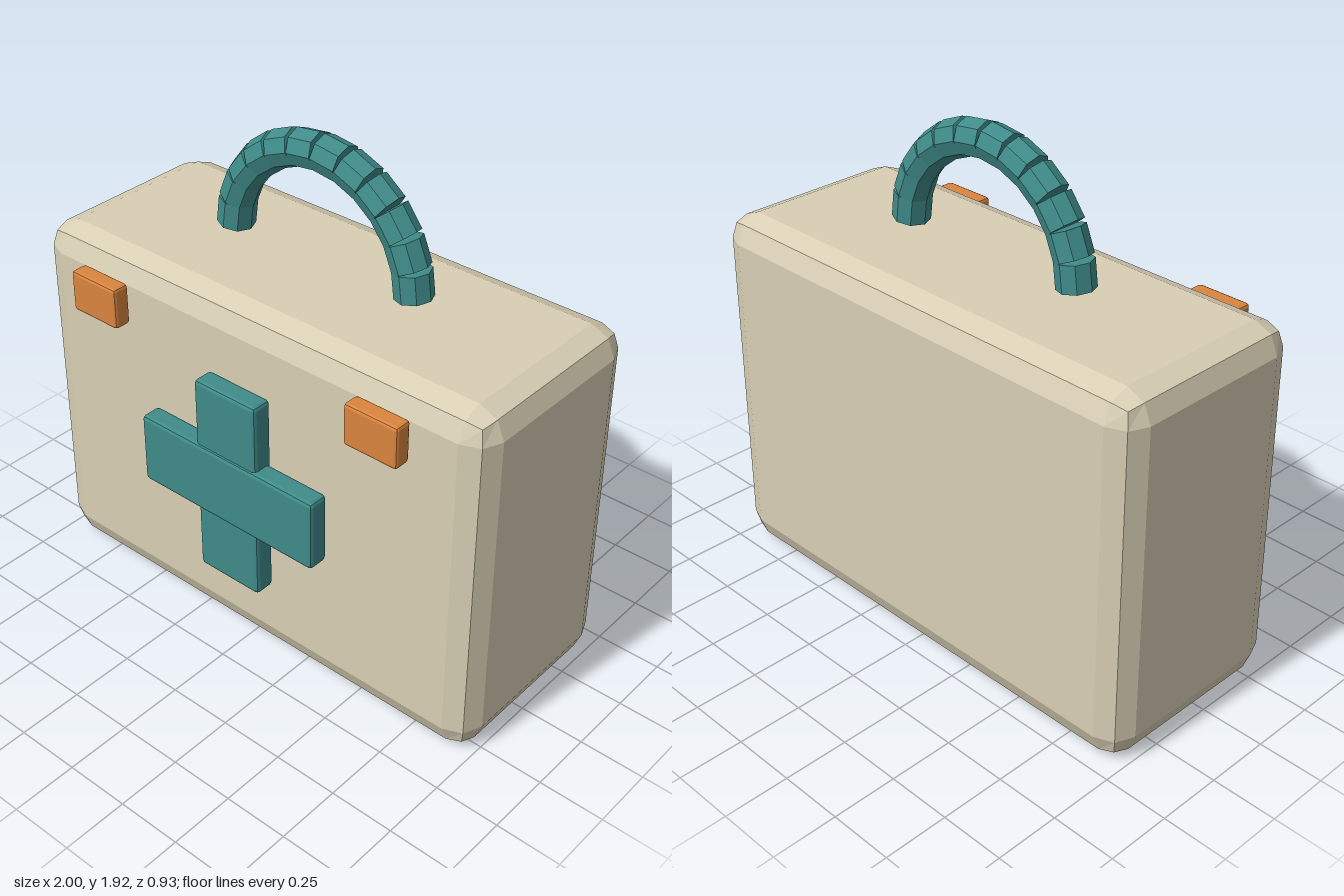
import * as THREE from 'three';
import { RoundedBoxGeometry } from 'three/addons/geometries/RoundedBoxGeometry.js';

const material = (color) => new THREE.MeshStandardMaterial({ color, flatShading: true });

export function createModel() {
  const model = new THREE.Group();
  const cream = material(0xd8cfb4);
  const teal = material(0x3f8c8a);
  const orange = material(0xdb853f);
  const bodyZ = -0.056;

  // box with a single bevel, placed by its centre
  function bevelBox(name, size, centre, radius, mat) {
    const mesh = new THREE.Mesh(new RoundedBoxGeometry(...size, 1, radius), mat);
    mesh.name = name;
    mesh.position.set(...centre);
    model.add(mesh);
  }

  // case
  bevelBox('caseBody', [2, 1.406, 0.815], [0, 0.703, bodyZ], 0.1, cream);

  // cross emblem, the horizontal bar slightly proud of the vertical one
  bevelBox('crossVertical', [0.28, 0.805, 0.083], [0, 0.737, 0.411], 0.015, teal);
  bevelBox('crossHorizontal', [0.8, 0.28, 0.083], [0, 0.737, 0.421], 0.015, teal);

  // two latches
  for (const side of [1, -1]) {
    bevelBox(side > 0 ? 'leftLatch' : 'rightLatch', [0.218, 0.16, 0.068], [side * 0.628, 1.256, 0.412], 0.012, orange);
  }

  // handle: short cylinders set along a half circle
  const handle = new THREE.Group();
  handle.name = 'handle';
  handle.position.set(0, 1.448, bodyZ);
  const link = new THREE.CylinderGeometry(0.07, 0.07, 0.102, 8);
  const count = 12;
  for (let i = 0; i < count; i++) {
    const angle = ((i + 0.5) / count) * Math.PI;
    const mesh = new THREE.Mesh(link, teal);
    mesh.name = `handleLink${i + 1}`;
    mesh.position.set(0.4 * Math.cos(angle), 0.4 * Math.sin(angle), 0);
    mesh.rotation.z = angle;
    handle.add(mesh);
  }
  model.add(handle);

  return model;
}
